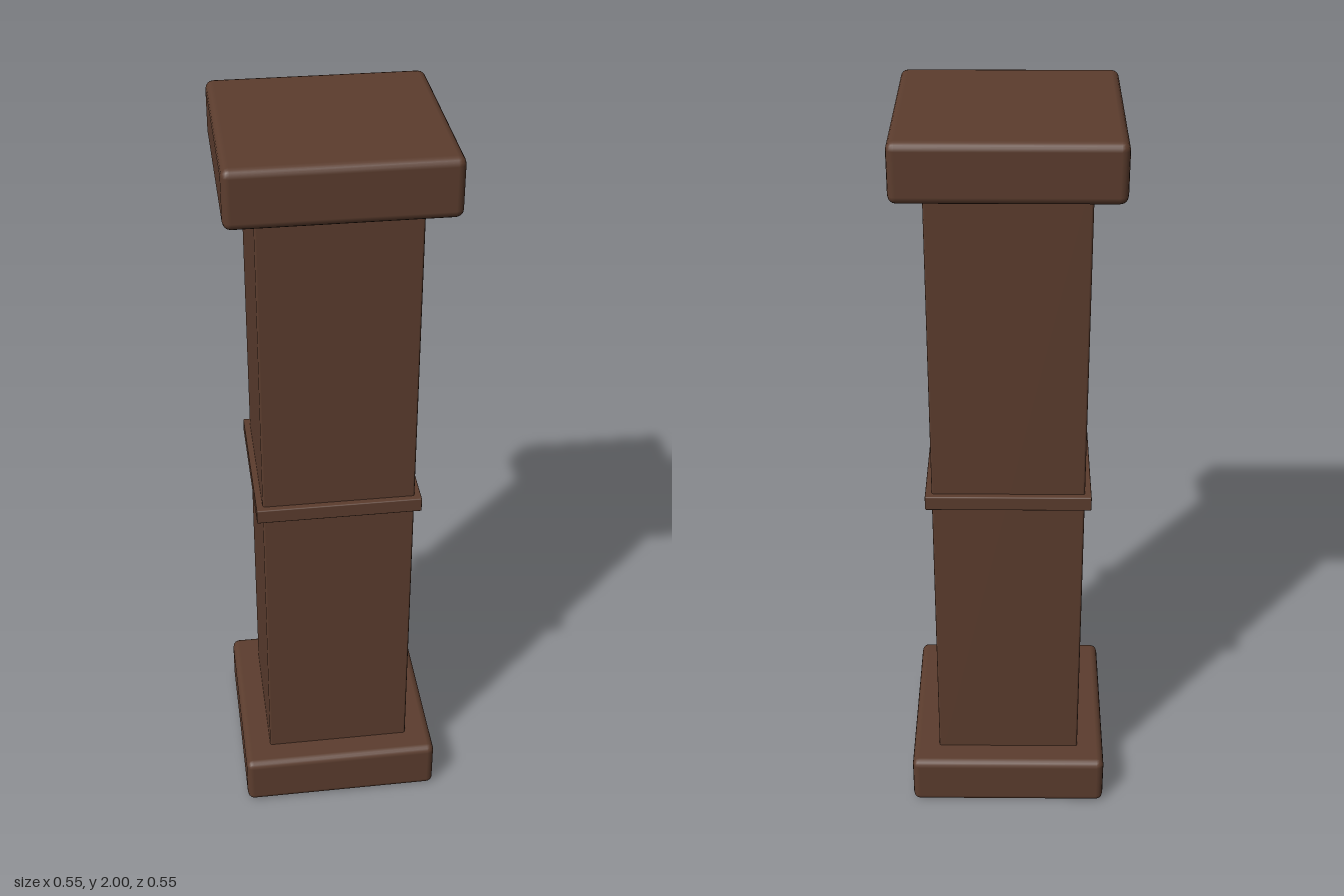
import * as THREE from 'three';
import { RoundedBoxGeometry } from 'three/addons/geometries/RoundedBoxGeometry.js';

export function createModel() {
  const group = new THREE.Group();
  const wood = new THREE.MeshStandardMaterial({ color: 0x5c3d2e });
  wood.name = 'darkWood';

  // Square block from y0 to y1 with softened edges
  function block(name, width, y0, y1, radius, segments) {
    const geometry = new RoundedBoxGeometry(width, y1 - y0, width, segments, radius);
    const mesh = new THREE.Mesh(geometry, wood);
    mesh.name = name;
    mesh.position.y = (y0 + y1) / 2;
    group.add(mesh);
  }

  // Plinth and matching cap
  block('base', 0.55, 0, 0.148, 0.02, 2);
  block('capital', 0.55, 1.852, 2, 0.02, 2);

  // Shaft runs slightly into both blocks
  block('shaft', 0.4, 0.1, 1.9, 0.006, 1);

  // Thin moulding around the middle
  block('middleBand', 0.434, 0.983, 1.023, 0.003, 1);

  return group;
}
